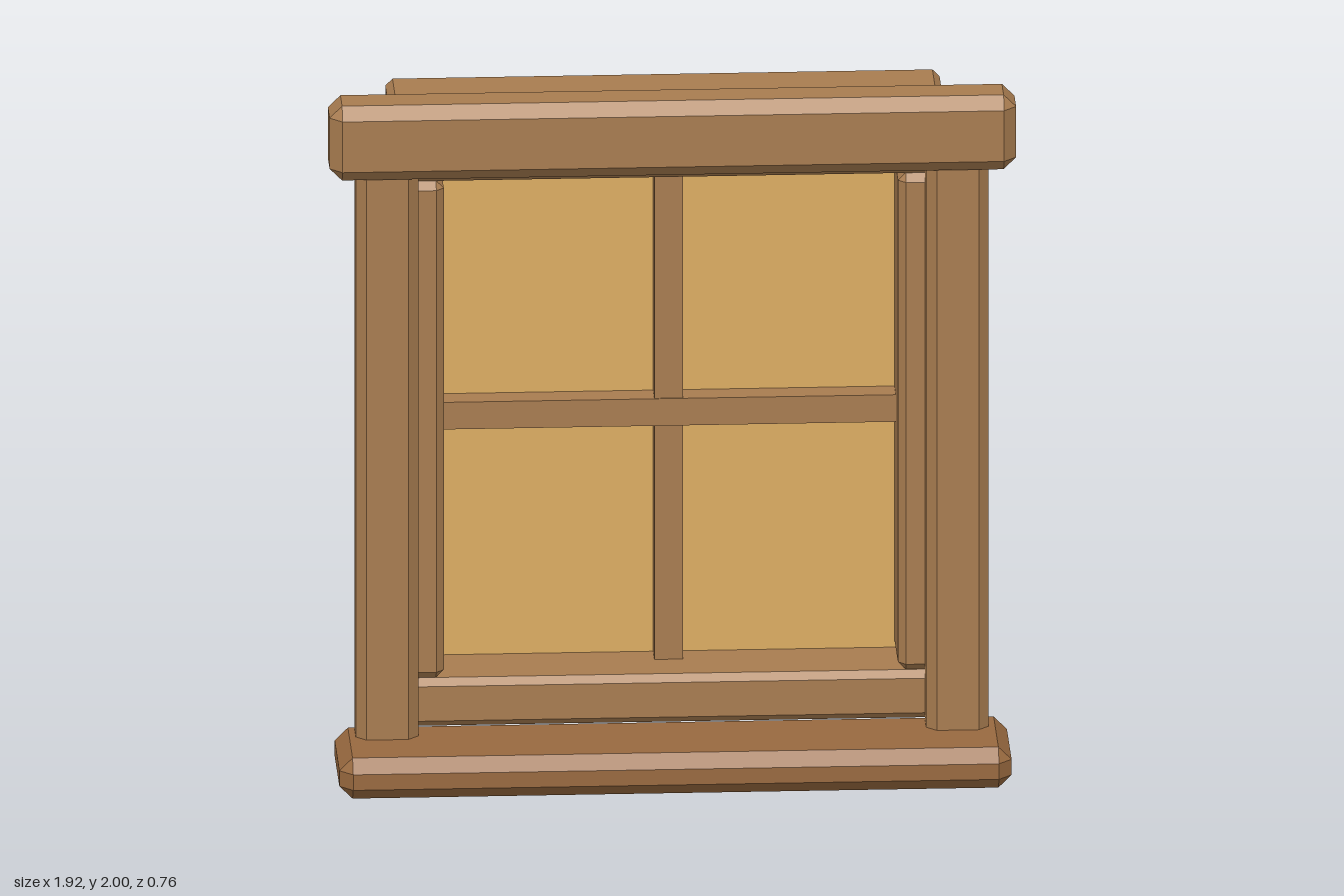
import * as THREE from 'three';
import { ConvexGeometry } from 'three/addons/geometries/ConvexGeometry.js';

const wood = new THREE.MeshStandardMaterial({ color: 0xa87c50, flatShading: true });
const darkWood = new THREE.MeshStandardMaterial({ color: 0x98693f, flatShading: true });
const pane = new THREE.MeshStandardMaterial({ color: 0xdcac62 });

// Box with all edges and corners cut at 45 degrees
function chamferedBox(w, h, d, c) {
  const points = [];
  for (const x of [-1, 1]) for (const y of [-1, 1]) for (const z of [-1, 1]) {
    for (let axis = 0; axis < 3; axis++) {
      const cut = [c, c, c];
      cut[axis] = 0;
      points.push(new THREE.Vector3(
        x * (w / 2 - cut[0]), y * (h / 2 - cut[1]), z * (d / 2 - cut[2])));
    }
  }
  return new ConvexGeometry(points);
}

// Beam given by its min and max on each axis
function beam(name, [x0, x1], [y0, y1], [z0, z1], chamfer = 0, material = wood) {
  const size = [x1 - x0, y1 - y0, z1 - z0];
  const geometry = chamfer ? chamferedBox(...size, chamfer) : new THREE.BoxGeometry(...size);
  const mesh = new THREE.Mesh(geometry, material);
  mesh.name = name;
  mesh.position.set((x0 + x1) / 2, (y0 + y1) / 2, (z0 + z1) / 2);
  return mesh;
}

export function createModel() {
  const group = new THREE.Group();
  group.name = 'window';
  const frameDepth = [-0.38, 0.12];

  // Outer trim
  group.add(beam('sill', [-0.94, 0.94], [0, 0.12], [0.055, 0.385], 0.037, darkWood));
  group.add(beam('header', [-0.96, 0.96], [1.78, 2], [0.078, 0.24], 0.035));

  // Deep inner frame
  group.add(beam('frameTop', [-0.775, 0.775], [1.737, 1.88], frameDepth, 0.02));
  group.add(beam('frameBottom', [-0.775, 0.775], [0.125, 0.267], frameDepth, 0.02));

  // Trim posts and frame sides, mirrored
  for (const [side, s] of [['left', 1], ['right', -1]]) {
    const span = (a, b) => (s > 0 ? [a, b] : [-b, -a]);
    group.add(beam(side + 'Post', span(0.71, 0.885), [0.09, 1.89], [0.072, 0.2], 0.029));
    group.add(beam(side + 'FrameSide', span(0.635, 0.775), [0.267, 1.737], frameDepth, 0.022));
  }

  // Panes and the crossed glazing bars
  group.add(beam('panes', [-0.64, 0.64], [0.255, 1.745], [-0.16, -0.09], 0, pane));
  group.add(beam('verticalBar', [-0.04, 0.04], [0.255, 1.745], [-0.228, -0.02]));
  group.add(beam('horizontalBar', [-0.64, 0.64], [0.96, 1.04], [-0.232, -0.016]));

  return group;
}
